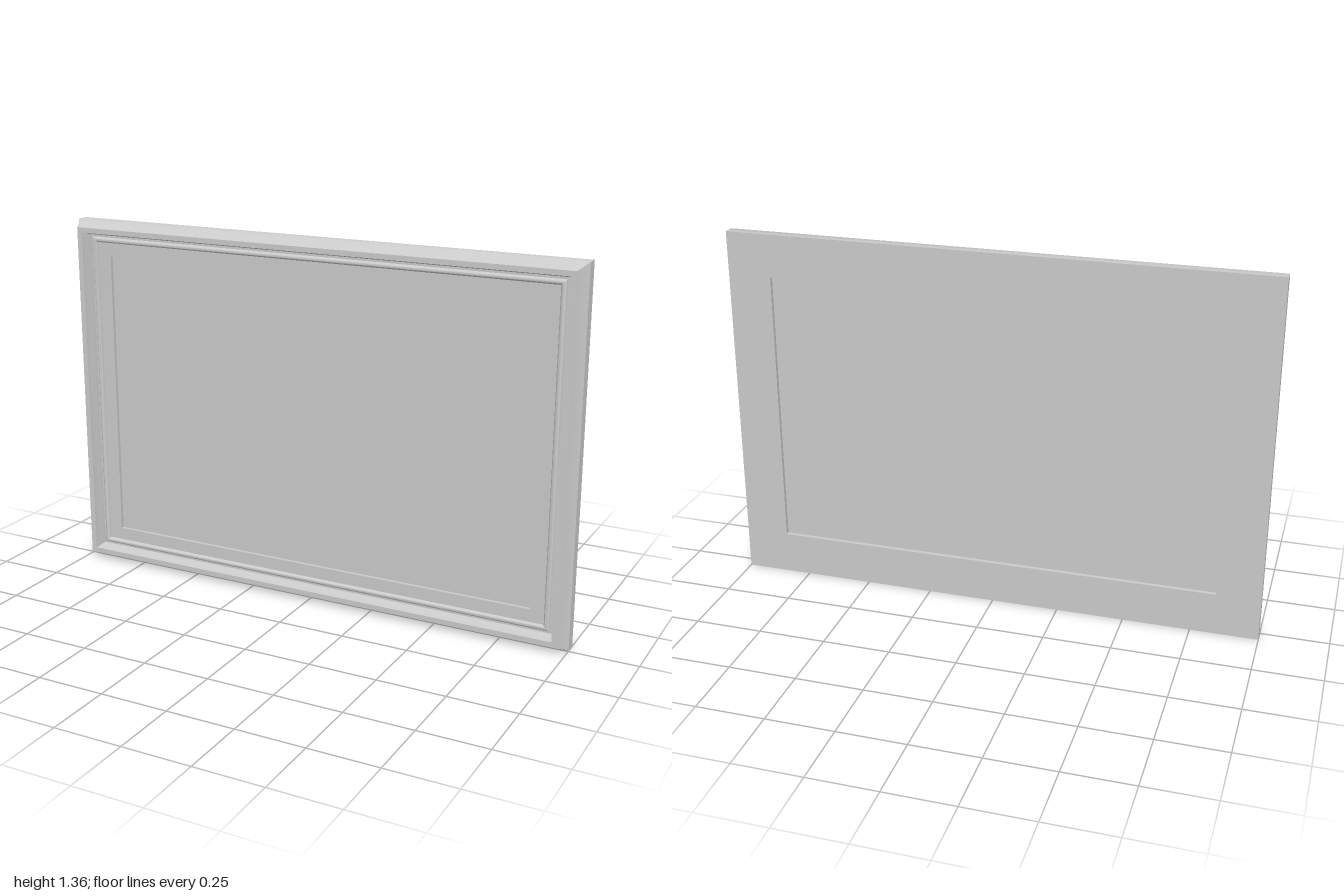
import * as THREE from 'three';
import { toCreasedNormals } from 'three/addons/utils/BufferGeometryUtils.js';

const WIDTH = 2, HEIGHT = 1.36;
const Y_RATIO = 0.9; // top and bottom rails are slightly narrower than the stiles

// Sweeps a profile of [inset, z, optional vertical inset] round the rectangle with mitred corners.
function mitredRing(profile) {
  const corners = [[1, -1], [1, 1], [-1, 1], [-1, -1]];
  const point = ([inset, z, insetY = inset * Y_RATIO], [sx, sy]) =>
    [sx * (WIDTH / 2 - inset), HEIGHT / 2 + sy * (HEIGHT / 2 - insetY), z];
  const positions = [];
  for (let k = 0; k < 4; k++) {
    const from = corners[k], to = corners[(k + 1) % 4];
    for (let i = 0; i < profile.length - 1; i++) {
      const a = point(profile[i], from), b = point(profile[i], to);
      const c = point(profile[i + 1], to), d = point(profile[i + 1], from);
      positions.push(...a, ...b, ...c, ...a, ...c, ...d);
    }
  }
  const geometry = new THREE.BufferGeometry();
  geometry.setAttribute('position', new THREE.Float32BufferAttribute(positions, 3));
  geometry.computeVertexNormals();
  return toCreasedNormals(geometry, Math.PI / 5);
}

export function createModel() {
  const group = new THREE.Group();
  const material = new THREE.MeshStandardMaterial({ color: 0xcccccc });
  const add = (name, geometry) => {
    const mesh = new THREE.Mesh(geometry, material);
    mesh.name = name;
    group.add(mesh);
    return mesh;
  };

  // Rounded bead along the foot of the inner wall
  const bead = [];
  for (let i = 0; i <= 8; i++) {
    const a = Math.PI * i / 8;
    bead.push([0.08 - 0.011 * Math.cos(a), 0.002 + 0.011 * Math.sin(a)]);
  }

  // Moulding: back opening, flat back, outer edge, bevel, front lip, inner wall and bead
  add('frameMoulding', mitredRing([
    [0.163, -0.031, 0.16], [0.163, -0.046, 0.16], [0, -0.046], [0, -0.004],
    [0.008, 0.006], [0.027, 0.046], [0.048, 0.046],
    [0.05, 0.034], [0.058, 0.012], [0.06, 0.002], ...bead,
  ]));

  // Flat inner border with a small step down to the panel
  add('innerBorder', mitredRing([[0.091, 0.002], [0.144, 0.002], [0.144, -0.01]]));

  // Panel seen through both openings
  const panel = add('panel', new THREE.BoxGeometry(1.712, 1.101, 0.021));
  panel.position.set(0, HEIGHT / 2, -0.0205);

  return group;
}
